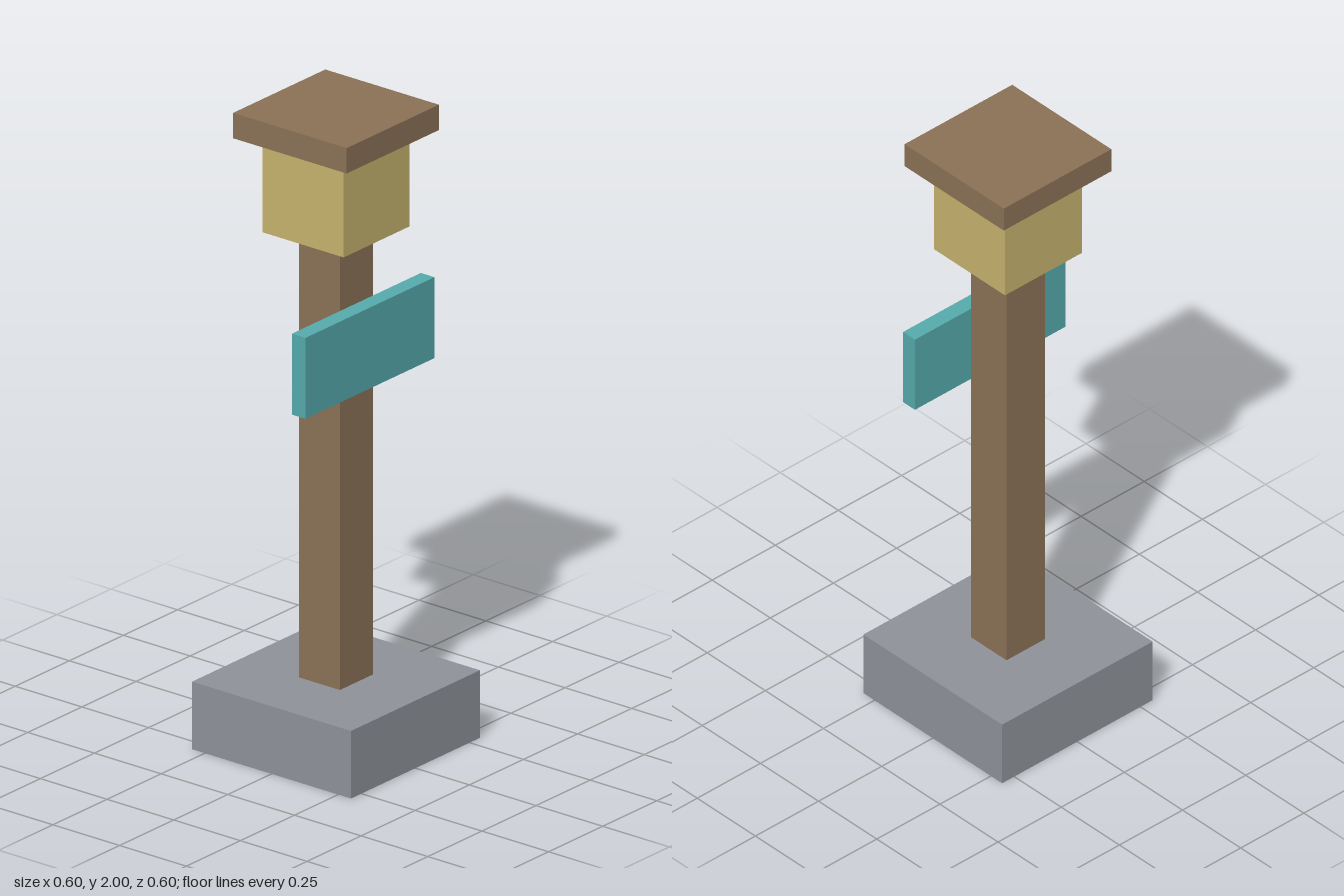
import * as THREE from 'three';

export function createModel() {
  const group = new THREE.Group();
  group.name = 'signpostLantern';

  const material = (name, color) => {
    const m = new THREE.MeshStandardMaterial({ color });
    m.name = name;
    return m;
  };
  const wood = material('brown wood', 0x8c7257);
  const stone = material('grey stone', 0x8f939a);
  const glow = material('yellow lantern', 0xc8b46f);
  const teal = material('teal paint', 0x56abad);

  // Box spanning y0..y1, centred on x = 0
  const box = (name, mat, width, depth, y0, y1, z = 0) => {
    const mesh = new THREE.Mesh(new THREE.BoxGeometry(width, y1 - y0, depth), mat);
    mesh.name = name;
    mesh.position.set(0, (y0 + y1) / 2, z);
    group.add(mesh);
  };

  box('base', stone, 0.596, 0.596, 0, 0.213);
  box('post', wood, 0.153, 0.153, 0.213, 1.62);
  box('signBoard', teal, 0.596, 0.051, 1.152, 1.407, 0.102);
  box('lantern', glow, 0.304, 0.304, 1.62, 1.92);
  box('cap', wood, 0.426, 0.426, 1.92, 2);

  return group;
}
